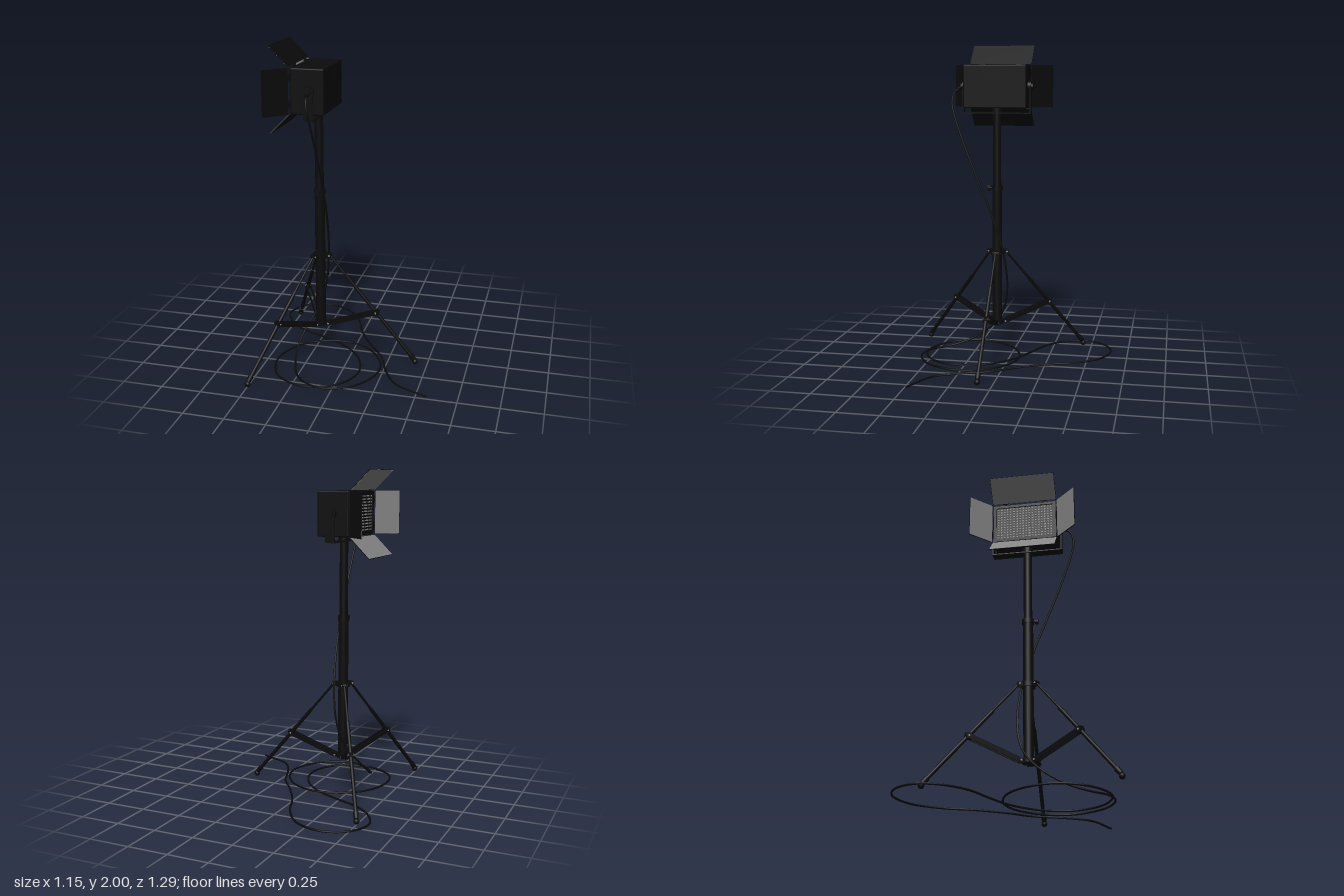
import * as THREE from 'three';
import { mergeGeometries } from 'three/addons/utils/BufferGeometryUtils.js';
import { RoundedBoxGeometry } from 'three/addons/geometries/RoundedBoxGeometry.js';

const black = new THREE.MeshStandardMaterial({ color: 0x0b0b0b });
black.name = 'black';
const silver = new THREE.MeshStandardMaterial({ color: 0x858585 });
silver.name = 'silver';

const V = (x, y, z) => new THREE.Vector3(x, y, z);
const UP = V(0, 1, 0);
const POST_X = -0.19, POST_Z = 0.09;

function add(parent, name, geometry, material, x = 0, y = 0, z = 0) {
  const mesh = new THREE.Mesh(geometry, material);
  mesh.name = name;
  mesh.position.set(x, y, z);
  parent.add(mesh);
  return mesh;
}

function group(parent, name, x = 0, y = 0, z = 0) {
  const g = new THREE.Group();
  g.name = name;
  g.position.set(x, y, z);
  parent.add(g);
  return g;
}

const cyl = (r, h, r2 = r, n = 24) => new THREE.CylinderGeometry(r2, r, h, n);
const box = (x, y, z) => new THREE.BoxGeometry(x, y, z);

// Lays a geometry built along y between two points
function span(parent, name, a, b, make, material = black) {
  const dir = b.clone().sub(a);
  const mid = a.clone().add(b).multiplyScalar(0.5);
  const mesh = add(parent, name, make(dir.length()), material, mid.x, mid.y, mid.z);
  mesh.quaternion.setFromUnitVectors(UP, dir.normalize());
  return mesh;
}

// Centre column with its collars and height clamp
function buildPost(root) {
  const post = group(root, 'post', POST_X, 0, POST_Z);
  const tube = (name, r, y0, y1) => add(post, name, cyl(r, y1 - y0), black, 0, (y0 + y1) / 2, 0);
  tube('lowerTube', 0.031, 0.21, 1.1);
  tube('upperTube', 0.026, 1.1, 1.6);
  tube('clampCollar', 0.036, 1.085, 1.115);
  tube('legCollar', 0.042, 0.67, 0.7);
  tube('braceCollar', 0.04, 0.21, 0.235);
  tube('headSocket', 0.033, 1.572, 1.61);
  span(post, 'clampScrew', V(0, 1.1, 0.03), V(0, 1.1, 0.05), l => cyl(0.008, l));
  span(post, 'clampKnob', V(0, 1.1, 0.045), V(0, 1.1, 0.062), l => cyl(0.018, l, 0.018, 8));
}

// One tripod leg running outward along local x
function buildLeg(root, angle) {
  const leg = group(root, 'tripodLeg', POST_X, 0, POST_Z);
  leg.rotation.y = angle;
  const top = V(0.06, 0.685, 0), foot = V(0.61, 0.032, 0);
  const at = t => top.clone().lerp(foot, t);
  const pivot = at(0.545), low = V(0.05, 0.222, 0);
  span(leg, 'upperLeg', top, at(0.32), l => cyl(0.0075, l, 0.0075, 12));
  span(leg, 'lowerLeg', at(0.29), foot, l => cyl(0.0115, l, 0.0115, 16));
  span(leg, 'footSleeve', at(0.955), foot, l => cyl(0.017, l, 0.014, 16));
  add(leg, 'rubberFoot', new THREE.SphereGeometry(0.018, 16, 12), black, 0.615, 0.018, 0);
  for (const s of [-1, 1]) {
    const off = V(0, 0, s * 0.014);
    span(leg, 'brace', low.clone().add(off), pivot.clone().add(off), l => box(0.028, l, 0.005));
    add(leg, 'topLug', box(0.04, 0.026, 0.006), black, 0.05, 0.685, s * 0.012);
    add(leg, 'lowerLug', box(0.04, 0.024, 0.006), black, 0.045, 0.222, s * 0.008);
  }
  add(leg, 'pivotSleeve', box(0.034, 0.036, 0.024), black, pivot.x, pivot.y, 0);
  for (const p of [top, pivot, low]) {
    const big = p === pivot;
    const r = big ? 0.018 : 0.011, w = big ? 0.038 : 0.034;
    span(leg, 'pivotBoss', V(p.x, p.y, -w / 2), V(p.x, p.y, w / 2), l => cyl(r, l, r, 16));
    span(leg, 'pivotRivet', V(p.x, p.y, -w / 2 - 0.002), V(p.x, p.y, w / 2 + 0.002),
      l => cyl(0.006, l, 0.006, 12), silver);
  }
}

// Lamp housing facing -x with diode grid and four hinged flaps
function buildHead(root) {
  const head = group(root, 'lampHead', -0.2, 1.745, POST_Z);
  add(head, 'housing', new RoundedBoxGeometry(0.2, 0.27, 0.4, 3, 0.008), black);

  const rim = new THREE.Shape([[-0.195, -0.13], [0.195, -0.13], [0.195, 0.13], [-0.195, 0.13]]
    .map(p => new THREE.Vector2(...p)));
  rim.holes.push(new THREE.Path([[-0.178, -0.113], [-0.178, 0.113], [0.178, 0.113], [0.178, -0.113]]
    .map(p => new THREE.Vector2(...p))));
  const frame = add(head, 'frontFrame',
    new THREE.ExtrudeGeometry(rim, { depth: 0.008, bevelEnabled: false }), black, -0.099, 0, 0);
  frame.rotation.y = -Math.PI / 2;

  const diodes = [];
  for (let i = 0; i < 18; i++) {
    for (let j = 0; j < 12; j++) {
      diodes.push(box(0.003, 0.008, 0.01).translate(-0.101, (j - 5.5) * 0.0185, (i - 8.5) * 0.0195));
    }
  }
  add(head, 'diodeGrid', mergeGeometries(diodes), silver);

  // Ventilation slats on the back
  for (let i = 0; i < 5; i++) add(head, 'ventSlat', box(0.004, 0.006, 0.16), black, 0.1, 0.03 + i * 0.016, 0);

  for (let k = 0; k < 4; k++) {
    const side = k % 2 === 1;
    const width = side ? 0.27 : 0.4, reach = side ? 0.198 : 0.133;
    const turn = group(head, 'flapMount');
    turn.rotation.x = k * Math.PI / 2;
    const flap = group(turn, side ? 'sideFlap' : 'wideFlap', -0.104, reach, 0);
    flap.rotation.z = Math.PI / 4;
    add(flap, 'flapPanel', box(0.004, 0.167, width), black, 0, 0.0935, 0);
    add(flap, 'flapInnerFace', box(0.001, 0.165, width - 0.004), silver, -0.0025, 0.0935, 0);
    for (const s of [-1, 1]) {
      const z = s * width * 0.3;
      span(flap, 'hinge', V(0, 0, z - 0.025), V(0, 0, z + 0.025), l => cyl(0.005, l, 0.005, 10));
      add(flap, 'hingeLeaf', box(0.004, 0.024, 0.035), black, 0.001, 0.008, z);
    }
  }
}

// U-shaped bracket holding the head, with tilt knobs
function buildYoke(root) {
  const yoke = group(root, 'yoke', POST_X, 0, POST_Z);
  add(yoke, 'yokeBase', box(0.06, 0.006, 0.436), black, 0, 1.578, 0);
  for (const s of [-1, 1]) {
    add(yoke, 'yokeArm', box(0.06, 0.185, 0.006), black, 0, 1.6675, s * 0.215);
    const knob = (name, r, a, b, n) =>
      span(yoke, name, V(0, 1.745, s * a), V(0, 1.745, s * b), l => cyl(r, l, r, n));
    knob('armEnd', 0.033, 0.2, 0.22, 24);
    knob('tiltKnob', 0.021, 0.218, 0.233, 10);
  }
  span(yoke, 'cableGland', V(0, 1.735, 0.23), V(0, 1.73, 0.255), l => cyl(0.014, l, 0.009, 16));
}

// Power cable hanging from the head and coiled on the floor
function buildCable(root) {
  const hanging = [
    [-0.19, 1.733, 0.32], [-0.185, 1.715, 0.36], [-0.175, 1.65, 0.379], [-0.162, 1.56, 0.36],
    [-0.145, 1.35, 0.285], [-0.136, 1.13, 0.195], [-0.137, 0.9, 0.105], [-0.148, 0.7, 0.045],
    [-0.17, 0.48, 0.02], [-0.21, 0.32, 0.045], [-0.275, 0.2, 0.11], [-0.303, 0.1, 0.225],
    [-0.29, 0.045, 0.33],
  ];
  const floor = [
    [-0.245, 0.44], [-0.16, 0.525], [-0.04, 0.558], [0.12, 0.49], [0.22, 0.33], [0.222, 0.18],
    [0.13, 0.02], [0, -0.06], [-0.12, -0.07], [-0.28, -0.01], [-0.39, 0.12], [-0.425, 0.29],
    [-0.36, 0.46], [-0.17, 0.55], [0.02, 0.48], [0.108, 0.31], [0.06, 0.11], [-0.08, -0.04],
    [-0.23, -0.12], [-0.42, -0.21], [-0.53, -0.325], [-0.57, -0.45], [-0.505, -0.58],
    [-0.36, -0.64], [-0.19, -0.585], [-0.07, -0.43], [0, -0.255], [0.1, -0.08], [0.2, 0.06],
    [0.27, 0.24], [0.36, 0.385], [0.57, 0.488],
  ];
  const points = hanging.map(p => V(...p));
  floor.forEach(([x, z], i) => points.push(V(x, i < 12 ? 0.018 : 0.009, z)));
  const path = new THREE.CatmullRomCurve3(points, false, 'centripetal');
  add(root, 'powerCable', new THREE.TubeGeometry(path, 420, 0.0062, 8), black);
}

export function createModel() {
  const root = new THREE.Group();
  root.name = 'studioLampOnStand';
  buildPost(root);
  for (let i = 0; i < 3; i++) buildLeg(root, i * Math.PI * 2 / 3);
  buildHead(root);
  buildYoke(root);
  buildCable(root);
  return root;
}
